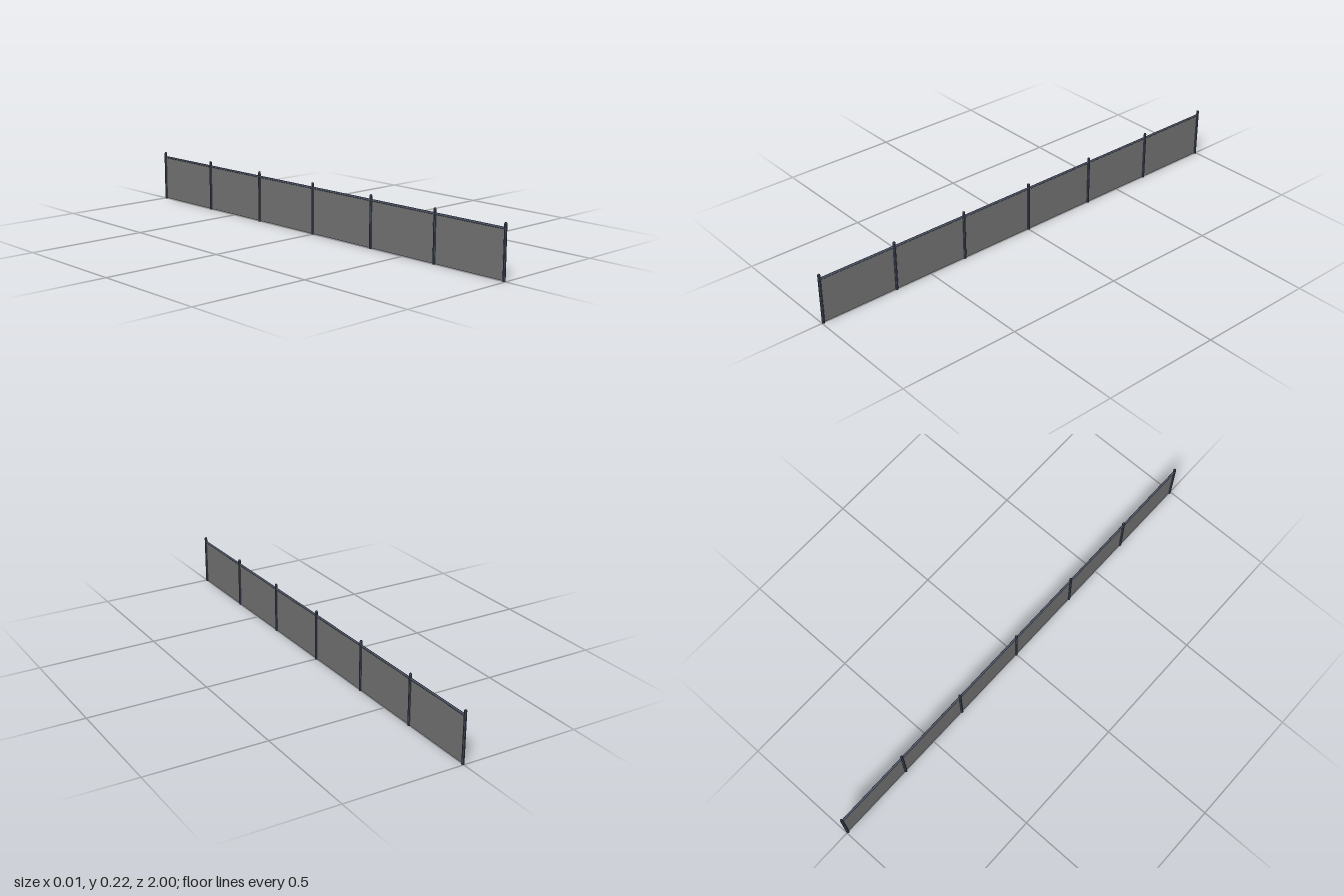
import * as THREE from 'three';

const POSTS = 7, R = 0.0058, END = 1 - R, RAIL_Y = 0.193;

export function createModel() {
  const fence = new THREE.Group();
  fence.name = 'fence';

  const steel = new THREE.MeshStandardMaterial({ color: 0x4b5366 });
  steel.name = 'blue grey steel';
  const mesh = new THREE.MeshStandardMaterial({ color: 0x707070, side: THREE.DoubleSide });
  mesh.name = 'grey mesh';

  const add = (name, geometry, material, x, y, z) => {
    const part = new THREE.Mesh(geometry, material);
    part.name = name;
    part.position.set(x, y, z);
    fence.add(part);
    return part;
  };

  // Octagonal posts with a small domed cap
  const profile = [[0, 0], [R, 0], [R, 0], [R, 0.21], [R, 0.21], [R * 0.65, 0.214], [0, 0.216]]
    .map(([x, y]) => new THREE.Vector2(x, y));
  const postGeometry = new THREE.LatheGeometry(profile, 8, Math.PI / 8).toNonIndexed();
  postGeometry.computeVertexNormals();

  const spacing = (2 * END) / (POSTS - 1);
  for (let i = 0; i < POSTS; i++) {
    add('post', postGeometry, steel, 0, 0, END - i * spacing);
  }

  // Mesh panel and top rail for each bay
  const panelGeometry = new THREE.PlaneGeometry(spacing, RAIL_Y - 0.002);
  const railGeometry = new THREE.CylinderGeometry(0.0045, 0.0045, spacing, 8, 1, true);
  for (let i = 0; i < POSTS - 1; i++) {
    const z = END - (i + 0.5) * spacing;
    add('panel', panelGeometry, mesh, 0, (RAIL_Y + 0.002) / 2, z).rotation.y = Math.PI / 2;
    add('topRail', railGeometry, steel, 0, RAIL_Y, z).rotation.x = Math.PI / 2;
  }

  return fence;
}
